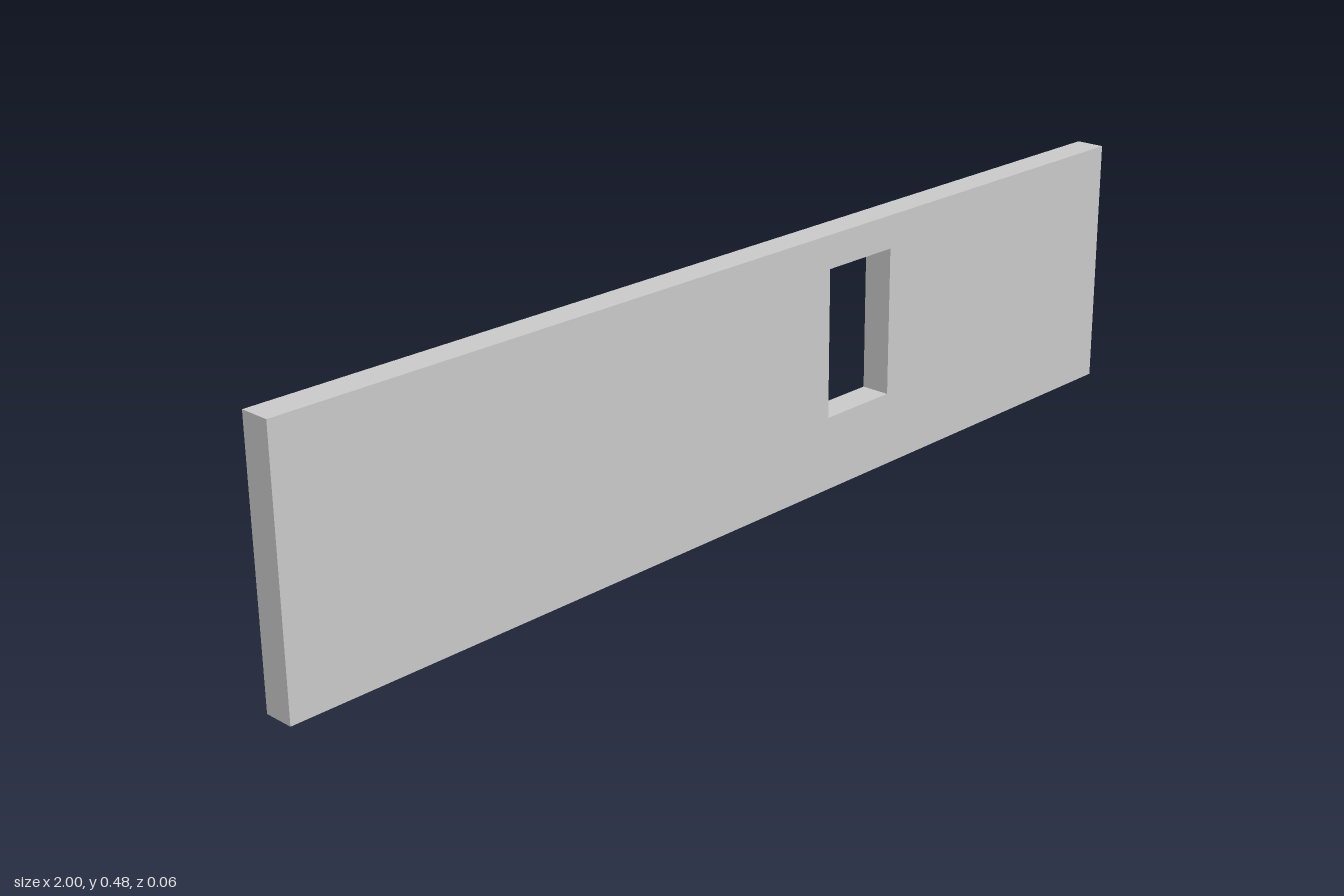
import * as THREE from 'three';

const WIDTH = 2, HEIGHT = 0.477, DEPTH = 0.056;
const OPENING = { left: 0.184, right: 0.348, bottom: 0.138, top: 0.415 };

// Traces a rectangle onto a shape or path
function rectangle(path, x0, y0, x1, y1) {
  path.moveTo(x0, y0);
  path.lineTo(x1, y0);
  path.lineTo(x1, y1);
  path.lineTo(x0, y1);
  path.closePath();
  return path;
}

export function createModel() {
  const group = new THREE.Group();
  group.name = 'wallWithWindow';

  // Wall slab with a rectangular window opening cut right through
  const outline = rectangle(new THREE.Shape(), -WIDTH / 2, 0, WIDTH / 2, HEIGHT);
  outline.holes.push(
    rectangle(new THREE.Path(), OPENING.left, OPENING.bottom, OPENING.right, OPENING.top)
  );
  const geometry = new THREE.ExtrudeGeometry(outline, { depth: DEPTH, bevelEnabled: false });
  geometry.translate(0, 0, -DEPTH / 2);

  const wall = new THREE.Mesh(
    geometry,
    new THREE.MeshStandardMaterial({ color: 0xcccccc, flatShading: true })
  );
  wall.name = 'wall';
  group.add(wall);

  return group;
}
